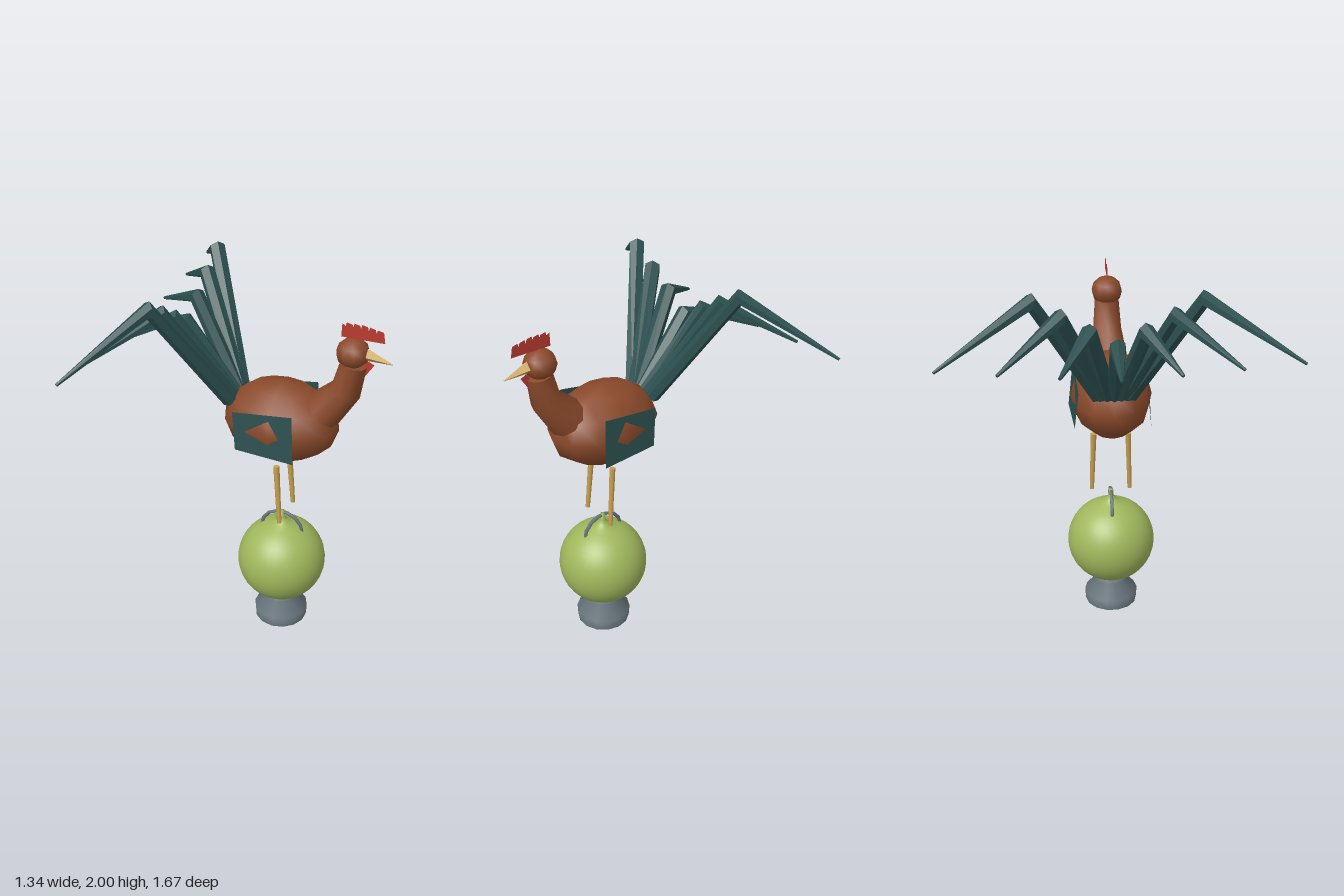
import * as THREE from 'three';

const paint = (name, color, double) => {
  const m = new THREE.MeshStandardMaterial({ color });
  m.name = name;
  if (double) m.side = THREE.DoubleSide;
  return m;
};

// Tapered rod through a list of points, one radius per point, with closed ends
function loft(points, radii, sides, flat) {
  const P = points.map(p => new THREE.Vector3(...p));
  const pos = [], idx = [], last = P.length - 1;
  const up = new THREE.Vector3(0, 1, 0);
  const rings = P.map((p, i) => {
    const t = new THREE.Vector3();
    if (i > 0) t.add(p.clone().sub(P[i - 1]).normalize());
    if (i < last) t.add(P[i + 1].clone().sub(p).normalize());
    t.normalize();
    const b = t.clone().cross(up).normalize();
    const n = b.clone().cross(t);
    return Array.from({ length: sides }, (_, j) => {
      const a = j / sides * Math.PI * 2;
      return p.clone().addScaledVector(n, Math.cos(a) * radii[i]).addScaledVector(b, Math.sin(a) * radii[i]);
    });
  });
  rings.forEach(r => r.forEach(v => pos.push(v.x, v.y, v.z)));
  for (let i = 0; i < last; i++) for (let j = 0; j < sides; j++) {
    const k = (j + 1) % sides, a = i * sides + j, b = i * sides + k;
    idx.push(a, b, a + sides, b, b + sides, a + sides);
  }
  // caps use their own vertices so the rims stay sharp
  [0, last].forEach(i => {
    const s = pos.length / 3;
    rings[i].forEach(v => pos.push(v.x, v.y, v.z));
    for (let j = 1; j < sides - 1; j++) {
      if (i === 0) idx.push(s, s + j + 1, s + j);
      else idx.push(s, s + j, s + j + 1);
    }
  });
  let g = new THREE.BufferGeometry();
  g.setAttribute('position', new THREE.Float32BufferAttribute(pos, 3));
  g.setIndex(idx);
  if (flat) g = g.toNonIndexed();
  g.computeVertexNormals();
  return g;
}

const outline = pts => new THREE.ShapeGeometry(new THREE.Shape(pts.map(p => new THREE.Vector2(...p))));

export function createModel() {
  const model = new THREE.Group();
  model.name = 'roosterOnBall';
  const brown = paint('brownPlumage', 0x8b4a2b);
  const teal = paint('tealFeather', 0x2c4f4f);
  const wingTeal = paint('tealWing', 0x2c4f4f, true);
  const red = paint('redComb', 0xb83a30, true);
  const gold = paint('goldHorn', 0xc8a050);
  const green = paint('greenBall', 0xa0b75c);
  const grey = paint('greyMetal', 0x68767d);
  const add = (name, geometry, material, x = 0, y = 0, z = 0) => {
    const m = new THREE.Mesh(geometry, material);
    m.name = name;
    m.position.set(x, y, z);
    model.add(m);
    return m;
  };
  const lathe = (pts, sides) => new THREE.LatheGeometry(pts.map(p => new THREE.Vector2(...p)), sides);
  const cx = 0.117;

  // Socket under the ball
  add('base', lathe([[0, 0], [0.143, 0], [0.143, 0], [0.147, 0.06], [0.085, 0.132], [0.102, 0.178], [0, 0.178]], 14), grey, cx);

  // Ball drawn out into a thin stem
  const ball = [];
  for (let i = 0; i <= 20; i++) {
    const a = -Math.PI / 2 + i / 20 * 2.77;
    ball.push([Math.max(0, Math.cos(a) * 0.238), 0.39 + Math.sin(a) * 0.238]);
  }
  ball.push([0.055, 0.625], [0.03, 0.642], [0.016, 0.662], [0.012, 0.7], [0, 0.7]);
  add('ball', lathe(ball, 36), green, cx);

  // Wire handle over the ball
  add('wireHandle', new THREE.TorusGeometry(0.118, 0.01, 6, 7, Math.PI), grey, cx, 0.575);

  // Body
  add('body', new THREE.SphereGeometry(1, 12, 6), brown, 0.108, 1.27).scale.set(0.308, 0.215, 0.213);

  // Neck and head
  add('neck', loft([[0.325, 1.37, 0], [0.443, 1.51, 0], [0.475, 1.66, 0]], [0.106, 0.078, 0.066], 10), brown);
  add('head', new THREE.SphereGeometry(0.083, 10, 6), brown, 0.467, 1.715).scale.y = 0.93;

  // Beak, comb and wattle
  add('beak', loft([[0.53, 1.718, 0], [0.666, 1.688, 0]], [0.034, 0.002], 4, true), gold);
  const teeth = [[0.405, 1.79], [0.408, 1.86]];
  for (let i = 0; i < 5; i++) {
    const x = 0.43 + i * 0.038, y = 1.868 - Math.max(0, i - 2) * 0.007;
    teeth.push([x - 0.005, y - 0.02], [x, y], [x + 0.028, y - 0.007]);
  }
  teeth.push([0.613, 1.845], [0.622, 1.79]);
  add('comb', outline(teeth.reverse()), red);
  add('wattle', outline([[0.52, 1.58], [0.577, 1.668], [0.53, 1.69]]), red);

  // Legs and wings, mirrored
  for (const s of [1, -1]) {
    add(s > 0 ? 'frontLeg' : 'backLeg',
      loft([[0.14, 0.695, s * 0.103], [0.117, 1.037, s * 0.092]], [0.012, 0.016], 8), gold);
    // the body's side bulges through each tilted wing plate
    const wing = outline([[-0.09, 1.36], [-0.068, 1.158], [0.25, 1.155], [0.232, 1.407]]);
    const p = wing.attributes.position;
    for (let i = 0; i < p.count; i++) {
      p.setZ(i, s * (0.198 + 0.071 * (p.getX(i) - 0.11) - 0.096 * (p.getY(i) - 1.275)));
    }
    wing.computeVertexNormals();
    add(s > 0 ? 'frontWing' : 'backWing', wing, wingTeal);
  }

  // Fan of seven bent tail feathers, taller towards the sides
  for (let i = -3; i <= 3; i++) {
    const h = Math.abs(i);
    add('tailFeather', loft([
      [-0.14, 1.37, i * 0.027],
      [-0.407, 1.728 + h * 0.077, i * 0.133],
      [-0.663, 1.665 + h * 0.022, i * 0.276],
    ], [0.04, 0.042, 0.008], 6, true), teal);
  }
  return model;
}
